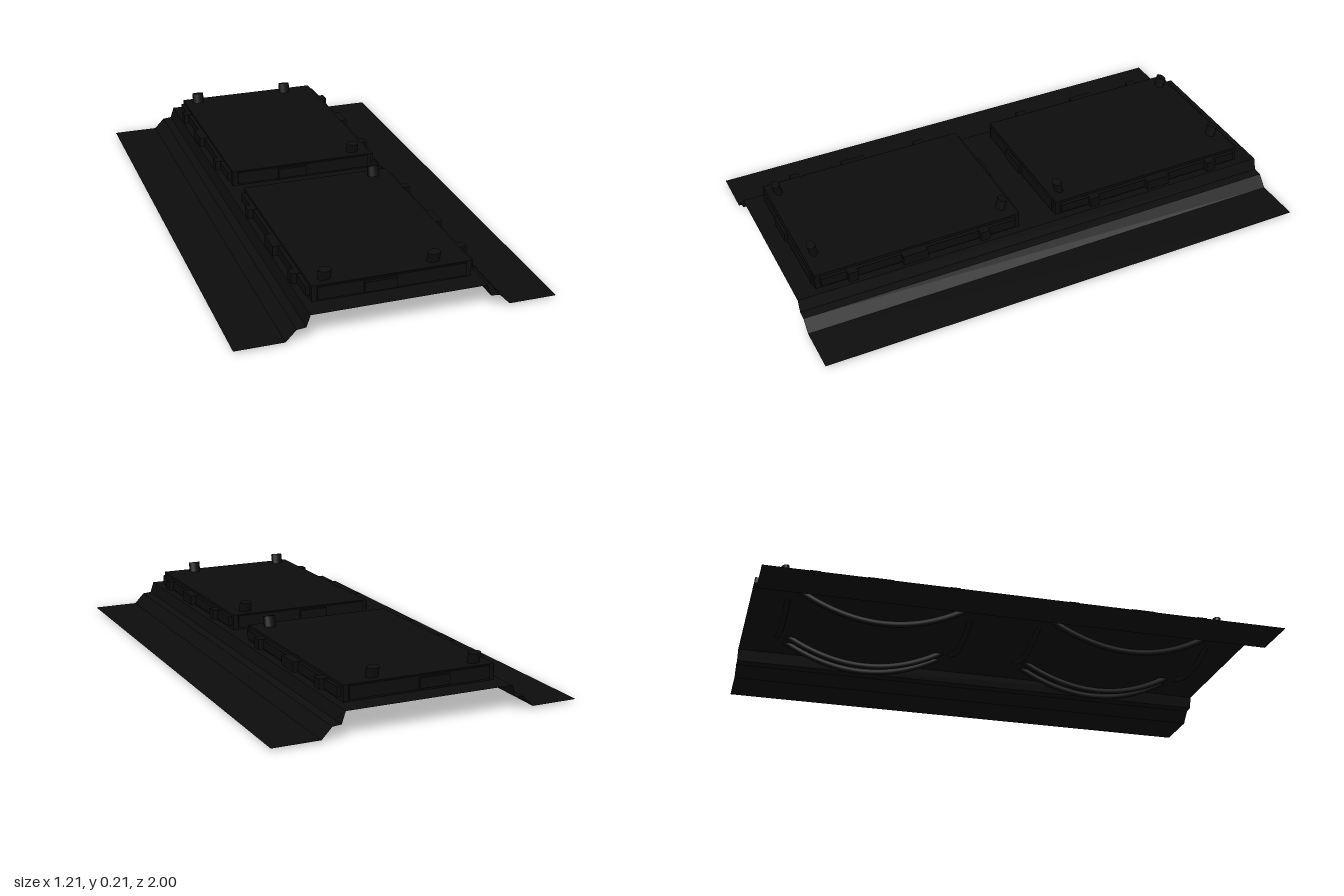
import * as THREE from 'three';

const dark = new THREE.MeshStandardMaterial({ color: 0x0d0d0d });
const darkSheet = new THREE.MeshStandardMaterial({ color: 0x0d0d0d, side: THREE.DoubleSide });

function add(parent, name, geometry, x = 0, y = 0, z = 0, material = dark) {
  const mesh = new THREE.Mesh(geometry, material);
  mesh.name = name;
  mesh.position.set(x, y, z);
  parent.add(mesh);
  return mesh;
}

// Thin folded sheet: a stepped cross-section swept along z
function sheetGeometry() {
  const half = [[0.605, 0.01], [0.42, 0.01], [0.38, 0.052], [0.345, 0.055], [0.33, 0.1]];
  const profile = [...half.map(([x, y]) => [-x, y]), ...half.reverse()];
  const pos = [];
  for (let i = 0; i < profile.length - 1; i++) {
    const [ax, ay] = profile[i], [bx, by] = profile[i + 1];
    pos.push(ax, ay, 1, bx, by, 1, bx, by, -1, ax, ay, 1, bx, by, -1, ax, ay, -1);
  }
  const g = new THREE.BufferGeometry();
  g.setAttribute('position', new THREE.Float32BufferAttribute(pos, 3));
  g.computeVertexNormals();
  return g;
}

// Sagging strap between two points, lowest in the middle
function strapGeometry(a, b, sag, radius) {
  const points = [];
  for (let i = 0; i <= 12; i++) {
    const t = i / 12;
    const p = a.clone().lerp(b, t);
    p.y -= sag * 4 * t * (1 - t);
    points.push(p);
  }
  return new THREE.TubeGeometry(new THREE.CatmullRomCurve3(points), 28, radius, 8, false);
}

// One raised panel, with its outer end towards +z * s
function makePanel(s) {
  const panel = new THREE.Group();
  panel.name = s > 0 ? 'frontPanel' : 'backPanel';
  add(panel, 'panelBody', new THREE.BoxGeometry(0.6, 0.062, 0.84), 0, 0.133, s * 0.5);

  // Clips along both long sides
  for (const side of [-1, 1]) {
    add(panel, 'sideRail', new THREE.BoxGeometry(0.02, 0.036, 0.8), side * 0.305, 0.135, s * 0.5);
    for (const [z, length] of [[0.24, 0.04], [0.53, 0.1], [0.78, 0.04]]) {
      add(panel, 'sideClip', new THREE.BoxGeometry(0.05, 0.04, length), side * 0.31, 0.135, s * z);
    }
  }
  // Clips at both ends
  for (const z of [0.08, 0.92]) {
    add(panel, 'endRail', new THREE.BoxGeometry(0.56, 0.05, 0.014), 0, 0.135, s * z);
    add(panel, 'endClip', new THREE.BoxGeometry(0.12, 0.04, 0.036), -0.05, 0.135, s * z);
  }
  // Oval pegs on top, leaning outwards
  for (const [x, z, lean] of [[-0.24, 0.88, 1], [0.17, 0.88, 1], [0.23, 0.125, -1]]) {
    const peg = add(panel, 'peg', new THREE.CylinderGeometry(0.025, 0.025, 0.05, 16), x, 0.179, s * z);
    peg.scale.z = 0.65;
    peg.rotation.x = s * lean * 0.22;
  }
  // Long straps hanging below the panel
  for (const x of [-0.24, 0.17, 0.23]) {
    const geo = strapGeometry(new THREE.Vector3(x, 0.14, s * 0.13), new THREE.Vector3(x, 0.14, s * 0.87), 0.127, 0.013);
    add(panel, 'longStrap', geo);
  }
  // Cross straps hanging below the panel
  for (const z of [0.14, 0.86]) {
    const geo = strapGeometry(new THREE.Vector3(-0.24, 0.14, s * z), new THREE.Vector3(0.24, 0.14, s * z), 0.073, 0.011);
    add(panel, 'crossStrap', geo);
  }
  return panel;
}

export function createModel() {
  const model = new THREE.Group();
  model.name = 'panelledBase';
  add(model, 'foldedSheet', sheetGeometry(), 0, 0, 0, darkSheet);
  model.add(makePanel(1), makePanel(-1));
  return model;
}
